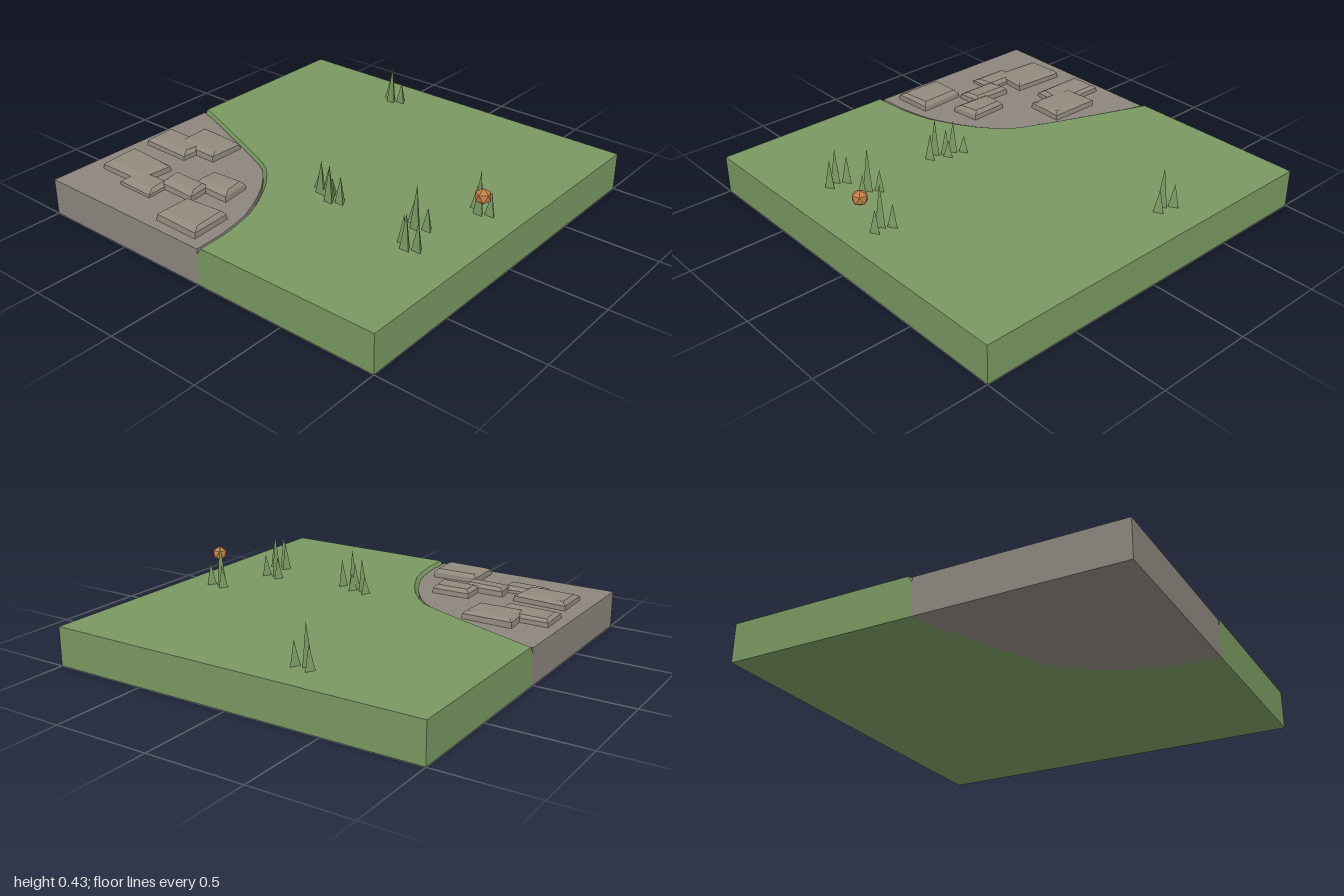
import * as THREE from 'three';
import { ConvexGeometry } from 'three/addons/geometries/ConvexGeometry.js';

const TOP = 0.2, GROOVE = 0.165, STONE_TOP = 0.19;

// Border between grass and stone as [x, z]: lip at the top, foot of the sloped bank
const LIP = [[-1, -0.04], [-0.9, -0.005], [-0.75, 0.055], [-0.5, 0.155], [-0.33, 0.228], [-0.27, 0.262],
  [-0.215, 0.315], [-0.15, 0.395], [-0.1, 0.475], [-0.06, 0.55], [-0.02, 0.64], [0.005, 0.74], [0.022, 0.84], [0.03, 1]];
const FOOT = LIP.map(([x, z], i) => {
  const t = i / (LIP.length - 1);
  return i === 0 ? [-1, -0.018] : [x - 0.006 - 0.018 * t, i === LIP.length - 1 ? 1 : z + 0.018 * (1 - t * 0.7)];
});

// Extrudes an outline in the ground plane upwards from y0 to y1
function slab(points, y0, y1) {
  const shape = new THREE.Shape(points.map(([x, z]) => new THREE.Vector2(x, -z)));
  const geo = new THREE.ExtrudeGeometry(shape, { depth: y1 - y0, bevelEnabled: false });
  return geo.rotateX(-Math.PI / 2).translate(0, y0, 0);
}

function seeded(seed) {
  let s = seed * 7919 + 17;
  return () => ((s = (s * 16807) % 2147483647) / 2147483647) - 0.5;
}

// Flat slab rock with chamfered top, wider slope at the front
function rockGeometry(x0, x1, z0, z1, top, seed) {
  const rnd = seeded(seed), pts = [];
  const corners = [[0, 0], [1, 0], [1, 1], [0, 1]];
  const levels = [[0, STONE_TOP - 0.02], [0.004, top - 0.016], [0.022, top]];
  const jitter = corners.map(() => [rnd() * 0.02, rnd() * 0.02]);
  for (const [inset, y] of levels) {
    corners.forEach(([cx, cz], i) => {
      const x = cx ? x1 - inset : x0 + inset;
      const z = cz ? z1 - inset * 1.9 : z0 + inset;
      pts.push(new THREE.Vector3(x + jitter[i][0], y + rnd() * 0.006, z + jitter[i][1]));
    });
  }
  return new ConvexGeometry(pts);
}

export function createModel() {
  const grassMat = new THREE.MeshStandardMaterial({ name: 'grassGreen', color: 0x7a9961 });
  const stoneMat = new THREE.MeshStandardMaterial({ name: 'stoneGrey', color: 0x8d867e });
  const rockMat = new THREE.MeshStandardMaterial({ name: 'rockGrey', color: 0x918a7e });
  const ballMat = new THREE.MeshStandardMaterial({ name: 'copperOrange', color: 0xc68047 });

  const model = new THREE.Group();
  model.name = 'terrainTile';
  const add = (parent, name, geo, mat) => {
    const mesh = new THREE.Mesh(geo, mat);
    mesh.name = name;
    parent.add(mesh);
    return mesh;
  };
  const group = (name) => {
    const g = new THREE.Group();
    g.name = name;
    model.add(g);
    return g;
  };

  // Grass ground: straight lower block, and upper layer with its bank sloping to the foot line
  const corners = [[-1, -1], [1, -1], [1, 1]];
  const ground = group('grassGround');
  add(ground, 'grassBase', slab([...corners, ...[...FOOT].reverse()], 0, GROOVE), grassMat);
  const upper = slab([...corners, ...[...LIP].reverse()], GROOVE, TOP);
  const pos = upper.attributes.position;
  for (let i = 0; i < pos.count; i++) {
    if (pos.getY(i) > GROOVE + 0.01) continue;
    const k = LIP.findIndex(([x, z]) => Math.hypot(x - pos.getX(i), z - pos.getZ(i)) < 1e-4);
    if (k >= 0) pos.setXYZ(i, FOOT[k][0], GROOVE, FOOT[k][1]);
  }
  upper.computeVertexNormals();
  add(ground, 'grassTop', upper, grassMat);

  // Stone ground in the front right corner
  add(model, 'stoneGround', slab([...FOOT, [-1, 1]], 0, STONE_TOP), stoneMat);

  // Rocks: x range, z range, top height
  const rocks = group('rocks');
  [
    [-0.94, -0.65, 0.265, 0.455, 0.228],
    [-0.8, -0.525, 0.165, 0.375, 0.234],
    [-0.91, -0.63, 0.56, 0.775, 0.23],
    [-0.55, -0.33, 0.585, 0.73, 0.232],
    [-0.415, -0.2, 0.475, 0.63, 0.232],
    [-0.71, -0.51, 0.69, 0.835, 0.222],
    [-0.325, -0.07, 0.735, 0.955, 0.234],
  ].forEach((r, i) => add(rocks, 'rock', rockGeometry(...r, i + 1), rockMat));

  // Grass tufts: three three-sided blades around a tall middle one
  const tufts = group('grassTufts');
  const blade = (parent, x, z, h) => {
    const geo = new THREE.ConeGeometry(0.029, h, 3).toNonIndexed();
    geo.computeVertexNormals();
    geo.rotateY(Math.PI).translate(0, h / 2, 0);
    add(parent, 'grassBlade', geo, grassMat).position.set(x, TOP, z);
  };
  [
    [-0.285, -0.785, 0.205, 0.12],
    [0.795, -0.04, 0.23, 0.12],
    [0.105, 0.275, 0.172, 0.09],
    [0.19, 0.315, 0.195, 0.14],
    [0.65, 0.255, 0.228, 0.115],
    [0.72, 0.425, 0.18, 0.145],
  ].forEach(([x, z, tall, low]) => {
    const tuft = new THREE.Group();
    tuft.name = 'grassTuft';
    tufts.add(tuft);
    blade(tuft, x, z, tall);
    blade(tuft, x - 0.04, z - 0.037, low);
    blade(tuft, x + 0.049, z - 0.022, low);
  });

  // Floating faceted ball with one corner pointing up
  const ball = new THREE.IcosahedronGeometry(0.041, 0);
  ball.rotateX(-Math.atan((1 + Math.sqrt(5)) / 2));
  add(model, 'floatingBall', ball, ballMat).position.set(0.855, 0.344, 0.032);

  return model;
}
